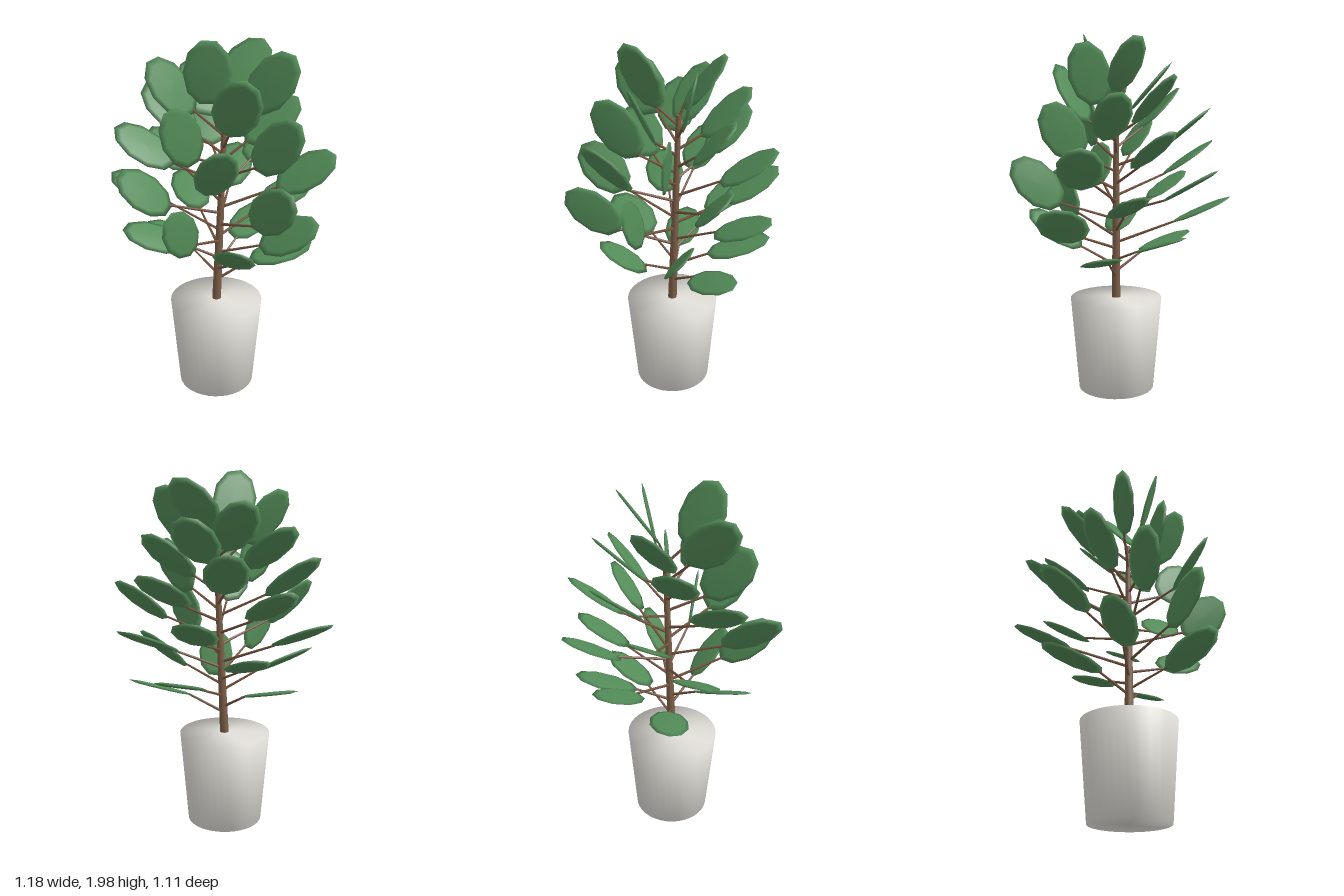
import * as THREE from 'three';

const mat = (name, color) => {
  const m = new THREE.MeshStandardMaterial({ color });
  m.name = name;
  return m;
};

// leaf centres, from the lowest up
const LEAVES = [
  [0.34, 0.79, 0.04], [-0.255, 0.815, -0.185], [0.03, 0.91, 0.385],
  [0.21, 0.87, -0.235], [-0.355, 0.935, 0.1], [0.336, 0.97, 0.243],
  [-0.125, 1.02, -0.41], [-0.233, 1.08, 0.414], [0.39, 1.085, -0.11],
  [-0.423, 1.127, -0.165], [0.21, 1.18, 0.425], [0.13, 1.173, -0.38],
  [-0.4, 1.246, 0.25], [0.445, 1.275, 0.115], [-0.25, 1.302, -0.317],
  [-0.06, 1.38, 0.415], [0.295, 1.365, -0.215], [-0.389, 1.415, 0.01],
  [0.26, 1.455, 0.26], [-0.024, 1.463, -0.326], [-0.21, 1.52, 0.26],
  [0.28, 1.53, -0.005], [-0.252, 1.58, -0.15], [0.056, 1.654, 0.27],
  [0.128, 1.62, -0.19], [-0.245, 1.73, 0.09], [0.25, 1.746, 0.12],
  [-0.075, 1.69, -0.13], [-0.075, 1.817, 0.19], [0.137, 1.8, -0.047],
];
const GOLDEN = THREE.MathUtils.degToRad(-137.5);
const LEAF_LENGTH = 0.365;

// point on the slightly leaning trunk axis at height y
const trunkAt = (y) => {
  const t = (y - 0.52) / 1.13;
  return new THREE.Vector3(-0.02 + 0.05 * t, y, 0.05 - 0.015 * t);
};

// tapered rod between two points
function rod(a, b, ra, rb, sides, material, name) {
  const dir = b.clone().sub(a);
  const mesh = new THREE.Mesh(new THREE.CylinderGeometry(rb, ra, dir.length(), sides), material);
  mesh.position.copy(a).add(b).multiplyScalar(0.5);
  mesh.quaternion.setFromUnitVectors(new THREE.Vector3(0, 1, 0), dir.normalize());
  mesh.name = name;
  return mesh;
}

// smooth solid of revolution from [radius, height] pairs
const turned = (pairs, sides) =>
  new THREE.LatheGeometry(pairs.map(([r, y]) => new THREE.Vector2(r, y)), sides);

// leaf axis: outwards in a spiral, steeper to the top and front, front ones fanned sideways
function leafDirection(i) {
  const c = Math.cos(i * GOLDEN);
  const s = Math.sin(i * GOLDEN);
  const pitch = THREE.MathUtils.degToRad(14 + 1.2 * i + 8 * s + 11 * s * s);
  const fanned = s > 0 ? s - 0.38 * s * s : s;
  return new THREE.Vector3(c, 0, fanned).normalize()
    .multiplyScalar(Math.cos(pitch)).setY(Math.sin(pitch));
}

export function createModel() {
  const ceramic = mat('pale ceramic', 0xe2e0d9);
  const bark = mat('bark brown', 0x7d5f47);
  const stemBrown = mat('stem brown', 0x78543f);
  const green = mat('leaf green', 0x538c58);

  const plant = new THREE.Group();
  plant.name = 'pottedPlant';

  // solid tapered pot with softly shaded rims
  const pot = new THREE.Mesh(
    turned([[0, 0], [0.212, 0], [0.256, 0.522], [0, 0.522]], 36), ceramic);
  pot.position.set(-0.022, 0, 0.05);
  pot.name = 'pot';
  plant.add(pot);

  plant.add(rod(trunkAt(0.51), trunkAt(1.62), 0.025, 0.013, 12, bark, 'trunk'));

  // thin ten-sided oval leaf, long axis on z
  const leafShape = turned(
    [[0, -0.009], [0.8, -0.007], [1, 0], [0.8, 0.007], [0, 0.009]], 10).scale(0.5, 1, 0.5);

  const foliage = new THREE.Group();
  foliage.name = 'foliage';
  plant.add(foliage);
  LEAVES.forEach((centre, i) => {
    const dir = leafDirection(i);
    const leaf = new THREE.Mesh(leafShape, green);
    leaf.name = 'leaf';
    leaf.scale.set(0.212 + 0.0015 * i, 1, LEAF_LENGTH);
    leaf.position.set(...centre);
    leaf.quaternion.setFromUnitVectors(new THREE.Vector3(0, 0, -1), dir);
    foliage.add(leaf);

    const end = leaf.position.clone().addScaledVector(dir, 0.02 - LEAF_LENGTH / 2);
    const joint = trunkAt(Math.min(0.64 + 0.033 * i, end.y - 0.05));
    foliage.add(rod(joint, end, 0.008, 0.006, 6, stemBrown, 'leafStem'));
  });

  return plant;
}
